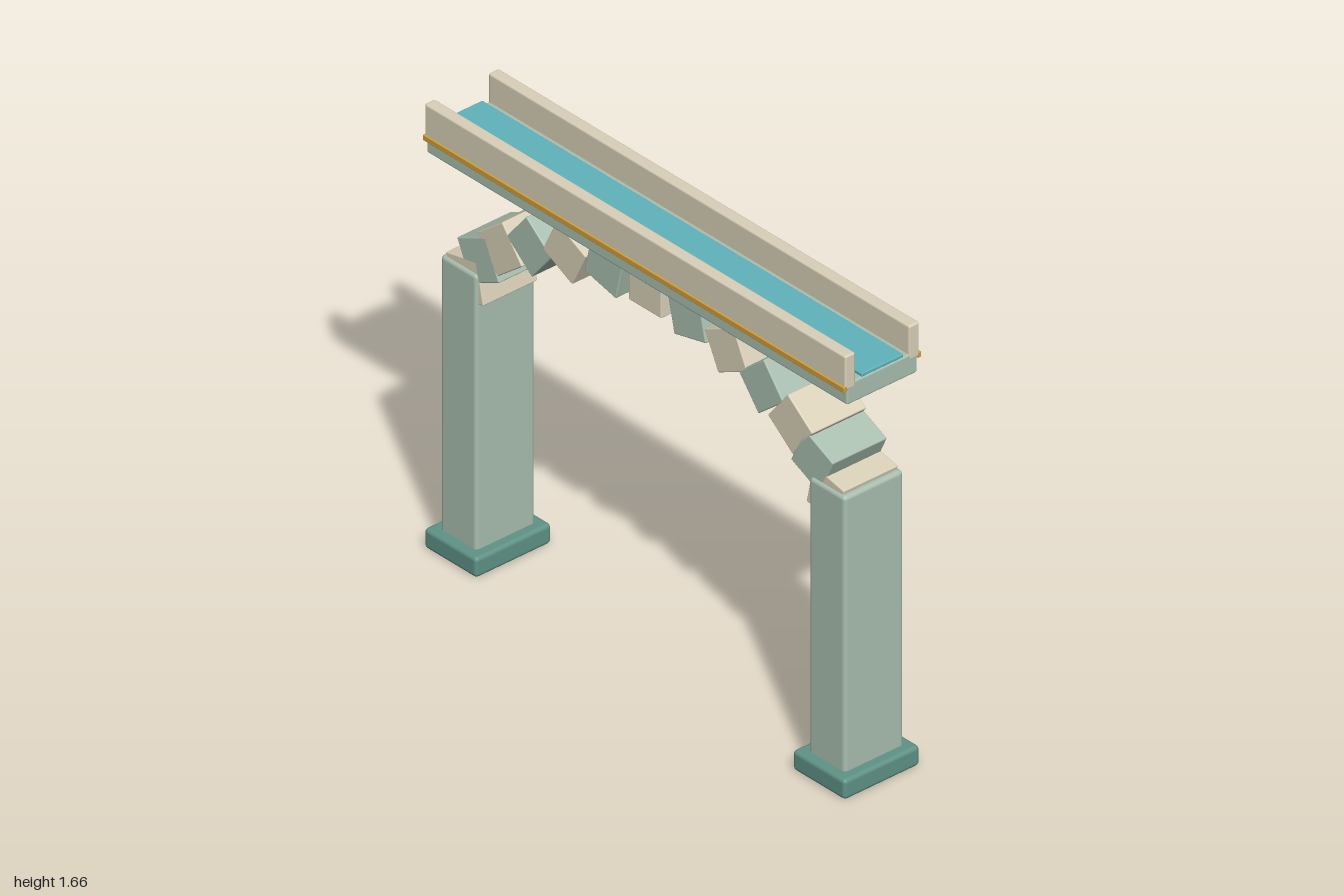
import * as THREE from 'three';
import { RoundedBoxGeometry } from 'three/addons/geometries/RoundedBoxGeometry.js';

const paint = (color) => new THREE.MeshStandardMaterial({ color });

export function createModel() {
  const model = new THREE.Group();
  const green = paint(0xa9bfb0);
  const darkGreen = paint(0x5f9285);
  const sand = paint(0xd9d0b8);
  const gold = paint(0xcf9f3c);
  const blue = paint(0x5fb3bd);

  // Softly bevelled block: size, centre, bevel radius
  function block(name, material, [w, h, d], [x, y, z], radius) {
    const mesh = new THREE.Mesh(new RoundedBoxGeometry(w, h, d, 2, radius), material);
    mesh.name = name;
    mesh.position.set(x, y, z);
    model.add(mesh);
    return mesh;
  }

  // Piers on plinths
  for (const s of [1, -1]) {
    block('plinth', darkGreen, [0.25, 0.075, 0.32], [s * 0.875, 0.0375, 0], 0.015);
    block('pier', green, [0.172, 1.09, 0.25], [s * 0.875, 0.555, 0], 0.015);
  }

  // Arch stones along a half ellipse, each turned a further 13 degrees
  for (let k = -6; k <= 6; k++) {
    const angle = THREE.MathUtils.degToRad(13 * k);
    const stone = block('archStone', k % 2 ? green : sand, [0.155, 0.15, 0.23],
      [0.875 * Math.sin(angle), 0.957 + 0.465 * Math.cos(angle), 0], 0.005);
    stone.rotation.z = angle;
  }

  // Channel deck and water
  block('deck', green, [1.998, 0.08, 0.298], [0, 1.514, 0], 0.008);
  block('water', blue, [2, 0.014, 0.176], [0, 1.562, 0], 0.004);

  // Side walls with a trim strip
  for (const s of [1, -1]) {
    block('sideWall', sand, [2, 0.13, 0.044], [0, 1.595, s * 0.135], 0.008);
    block('trim', gold, [2, 0.02, 0.014], [0, 1.536, s * 0.157], 0.002);
  }
  return model;
}
